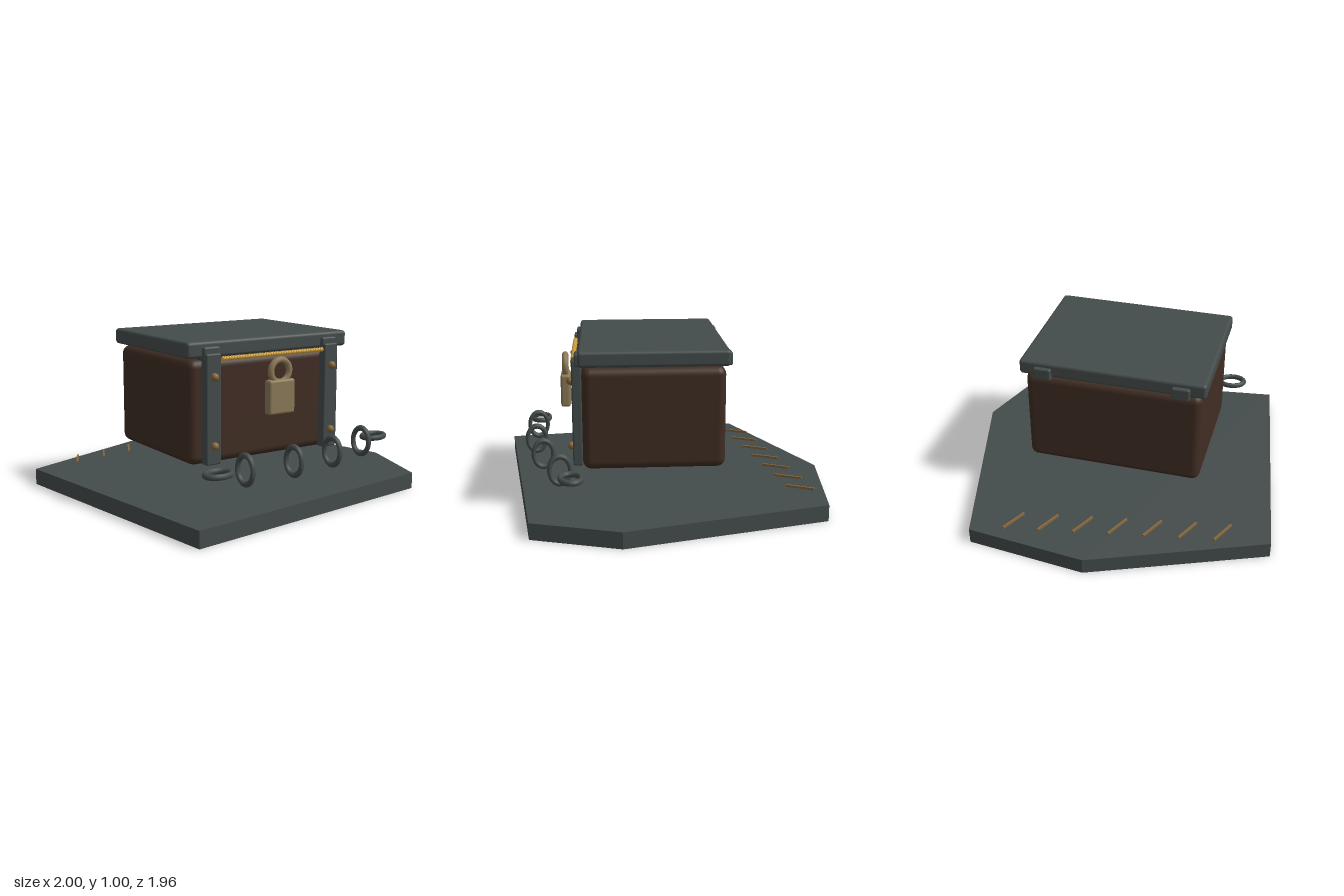
import * as THREE from 'three';
import { RoundedBoxGeometry } from 'three/addons/geometries/RoundedBoxGeometry.js';

function makeMaterial(name, color) {
  const m = new THREE.MeshStandardMaterial({ color });
  m.name = name;
  return m;
}

export function createModel() {
  const iron = makeMaterial('dark iron', 0x444c4b);
  const wood = makeMaterial('brown wood', 0x402d23);
  const gold = makeMaterial('gold', 0xd9a63c);
  const brass = makeMaterial('dull brass', 0x8c7a57);
  const bronze = makeMaterial('bronze', 0x86663c);

  const model = new THREE.Group();
  model.name = 'chestOnSlab';

  function add(parent, name, geometry, material, x, y, z) {
    const mesh = new THREE.Mesh(geometry, material);
    mesh.name = name;
    mesh.position.set(x, y, z);
    parent.add(mesh);
    return mesh;
  }
  const rounded = (w, h, d, r) => new RoundedBoxGeometry(w, h, d, 4, r);

  // Irregular six-sided slab
  const outline = [[-0.94, -0.745], [0.17, -0.98], [0.89, -0.77], [1, 0.49], [0.74, 0.975], [-1, 0.89]];
  const shape = new THREE.Shape(outline.map(([x, z]) => new THREE.Vector2(x, -z)));
  const slab = new THREE.ExtrudeGeometry(shape, { depth: 0.1, bevelEnabled: false });
  slab.rotateX(-Math.PI / 2);
  add(model, 'slab', slab, iron, 0, 0, 0);

  // Chest, turned slightly on the slab
  const chest = new THREE.Group();
  chest.name = 'chest';
  chest.position.set(-0.023, 0, 0.096);
  chest.rotation.y = -0.18;
  model.add(chest);
  add(chest, 'chestBody', rounded(1.1, 0.615, 0.85, 0.05), wood, 0, 0.5875, 0);
  add(chest, 'lid', rounded(1.15, 0.095, 0.89, 0.02), iron, 0, 0.9525, 0);

  // Front straps, lid bands and rivets
  for (const side of [-1, 1]) {
    const x = side * 0.425;
    add(chest, 'strap', rounded(0.1, 0.645, 0.06, 0.01), iron, x, 0.61, 0.455);
    add(chest, 'lidBand', rounded(0.11, 0.08, 0.935, 0.012), iron, x, 0.93, 0);
    for (const y of [0.4, 0.8]) {
      add(chest, 'rivet', new THREE.SphereGeometry(0.024, 16, 10), bronze, x, y, 0.492);
    }
  }

  // Toothed gold trim under the lid
  const rod = new THREE.CylinderGeometry(0.011, 0.011, 0.73, 10);
  rod.rotateZ(Math.PI / 2);
  add(chest, 'goldTrim', rod, gold, -0.002, 0.9, 0.478);
  const tooth = new THREE.TorusGeometry(0.011, 0.004, 5, 10);
  tooth.rotateY(Math.PI / 2);
  for (let i = 0; i < 40; i++) {
    add(chest, 'goldTooth', tooth, gold, -0.36 + i * 0.0184, 0.9, 0.478);
  }

  // Padlock
  add(chest, 'padlockBody', rounded(0.185, 0.205, 0.06, 0.015), brass, 0, 0.655, 0.535);
  add(chest, 'padlockShackle', new THREE.TorusGeometry(0.066, 0.019, 10, 32), brass, 0, 0.807, 0.535);

  // Oval chain links: four upright, two lying flat
  const link = new THREE.TorusGeometry(0.082, 0.018, 12, 36);
  link.scale(1, 0.74, 1);
  const upright = link.clone().rotateZ(Math.PI / 2).rotateY(Math.PI / 2);
  const flat = link.clone().rotateX(Math.PI / 2);
  for (const [x, z] of [[-0.535, 0.757], [-0.195, 0.81], [0.145, 0.81], [0.487, 0.757]]) {
    add(model, 'uprightLink', upright, iron, x, 0.312, z);
  }
  for (const x of [-0.707, 0.657]) add(model, 'flatLink', flat, iron, x, 0.312, 0.72);

  // Row of slanted bars at the back
  for (let i = 0; i < 7; i++) {
    const bar = add(model, 'slantedBar', new THREE.BoxGeometry(0.178, 0.014, 0.013), bronze, -0.65 + i * 0.2127, 0.126, -0.695);
    bar.rotation.y = 0.94;
  }
  return model;
}
